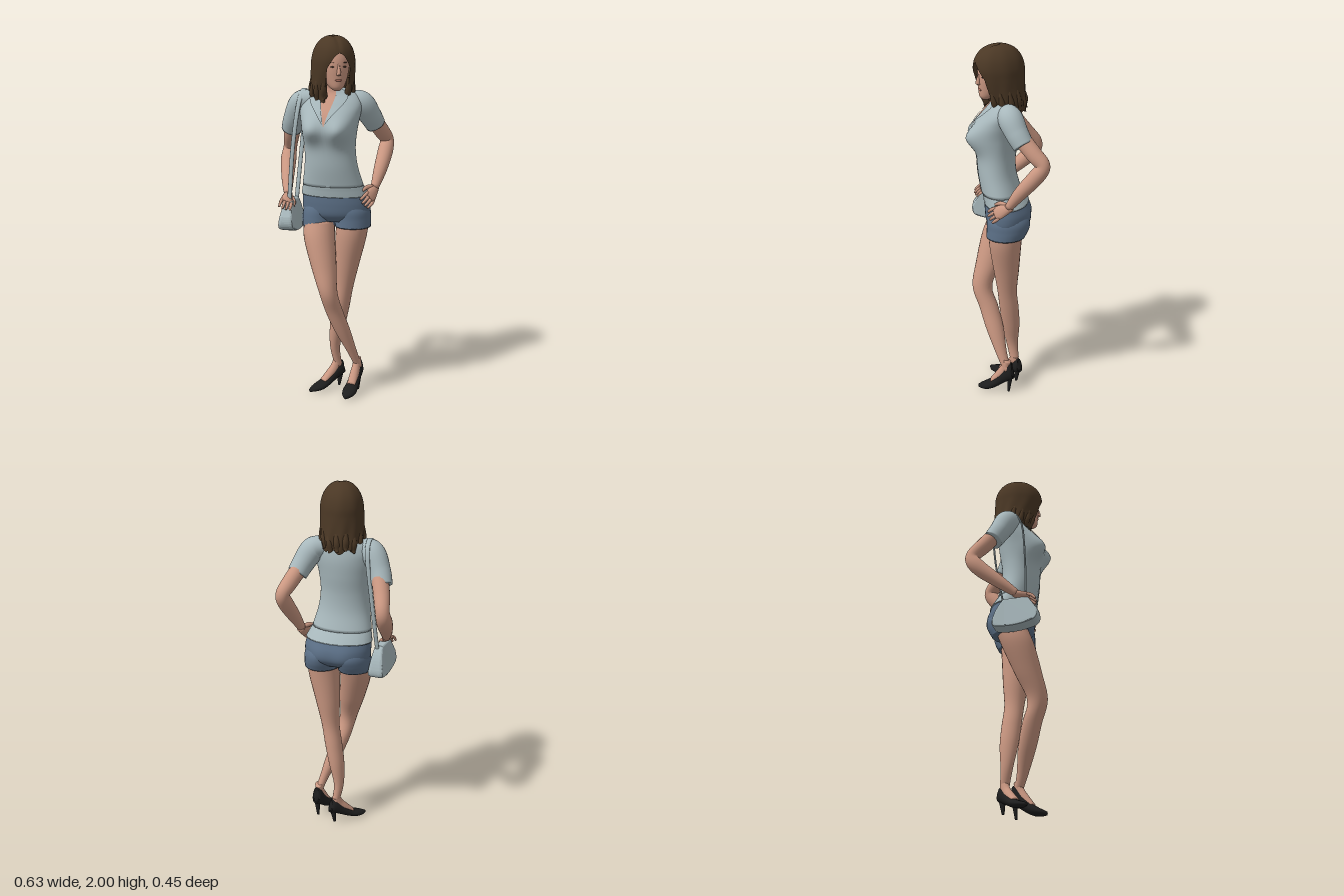
import * as THREE from 'three';

const mat = (name, color, side = THREE.FrontSide) =>
  Object.assign(new THREE.MeshStandardMaterial({ color, side }), { name });
const skin = mat('skin', 0xcb9882);
const cloth = mat('grey cloth', 0xa8b8bc, THREE.DoubleSide);
const denim = mat('denim', 0x5b6f86);
const hairMat = mat('brown hair', 0x4b3825, THREE.DoubleSide);
const black = mat('black leather', 0x1e1e1e);
const lipMat = mat('lips', 0xb87867);
const dark = mat('eye dark', 0x46342a);

// Smooth surface through rows [x, y, z, radiusA, radiusB]; flat keeps sections level.
function surface(rows, flat = false, warp = null) {
  const curve = pts => new THREE.CatmullRomCurve3(pts, false, 'catmullrom', 0.5);
  const path = curve(rows.map(r => new THREE.Vector3(r[0], r[1], r[2])));
  const size = curve(rows.map(r => new THREE.Vector3(r[3], r[4] ?? r[3], 0)));
  return (s, angle, off = 0) => {
    const p = path.getPoint(s), k = size.getPoint(s);
    const u = new THREE.Vector3(1, 0, 0), v = new THREE.Vector3(0, 0, 1);
    if (!flat) {
      const t = path.getTangent(s);
      u.addScaledVector(t, -u.dot(t)).normalize();
      v.crossVectors(u, t);
    }
    p.addScaledVector(u, (k.x + off) * Math.cos(angle));
    p.addScaledVector(v, (k.y + off) * Math.sin(angle));
    if (warp) warp(p, angle);
    return p;
  };
}

// Mesh a surface: a closed capped skin, or an open patch when range(i, s) gives its angles.
function skinOver(name, P, material, { n = 24, m = 24, range = null, s0 = 0, s1 = 1, off = 0 } = {}) {
  const pos = [], idx = [], cols = range ? m + 1 : m;
  for (let i = 0; i <= n; i++) {
    const s = s0 + (s1 - s0) * i / n;
    const [a, b] = range ? range(i / n, s) : [0, Math.PI * 2];
    for (let j = 0; j < cols; j++) pos.push(...P(s, a + (b - a) * j / m, off).toArray());
  }
  for (let i = 0; i < n; i++) for (let j = 0; j < m; j++) {
    const k = (j + 1) % cols, a = i * cols, b = a + cols;
    idx.push(a + j, b + j, a + k, b + j, b + k, a + k);
  }
  if (!range) {
    const c = pos.length / 3, e = n * m;
    for (const s of [0, 1]) pos.push(...P(s, 0).add(P(s, Math.PI)).multiplyScalar(0.5).toArray());
    for (let j = 0; j < m; j++) {
      const k = (j + 1) % m;
      idx.push(c, j, k, c + 1, e + k, e + j);
    }
  }
  const g = new THREE.BufferGeometry();
  g.setAttribute('position', new THREE.Float32BufferAttribute(pos, 3));
  g.setIndex(idx);
  g.computeVertexNormals();
  const mesh = new THREE.Mesh(g, material);
  mesh.name = name;
  return mesh;
}
const loft = (name, rows, material, flat, warp, opts) => skinOver(name, surface(rows, flat, warp), material, opts);
const bump = (d, w) => Math.exp(-d * d / w);

function blob(name, material, [x, y, z], [a, b, c]) {
  const mesh = new THREE.Mesh(new THREE.SphereGeometry(1, 16, 10), material);
  mesh.name = name;
  mesh.position.set(x, y, z);
  mesh.scale.set(a, b, c);
  return mesh;
}

// Hand pointing along +z with four curled fingers
function hand(name, position, rotation, thumbSide, scale) {
  const g = new THREE.Group();
  g.name = name;
  g.add(loft('palm', [[0, 0, -0.015, 0.019, 0.017], [0, 0, 0.02, 0.026, 0.015], [0, 0, 0.055, 0.031, 0.012], [0, -0.003, 0.07, 0.026, 0.009]], skin, false, null, { n: 10, m: 14 }));
  for (let i = 0; i < 4; i++) {
    const x = (i - 1.5) * 0.0155, len = 0.056 - 0.006 * Math.abs(i - 1.3);
    g.add(loft('finger', [[x, 0, 0.055, 0.0082], [x * 1.15, -0.005, 0.055 + len * 0.5, 0.008], [x * 1.15, -0.02, 0.055 + len, 0.0055]], skin, false, null, { n: 6, m: 8 }));
  }
  const t = thumbSide;
  g.add(loft('thumb', [[t * 0.015, 0, 0.005, 0.011], [t * 0.036, -0.006, 0.03, 0.01], [t * 0.042, -0.015, 0.058, 0.006]], skin, false, null, { n: 6, m: 8 }));
  g.position.set(...position);
  g.rotation.set(...rotation, 'YXZ');
  g.scale.setScalar(scale);
  return g;
}

// High-heeled shoe with the foot inside, toe along +z
function shoe(name, x, z, turn, height, length) {
  const g = new THREE.Group();
  g.name = name;
  g.add(loft('pump', [[0, 0.125, -0.076, 0.013, 0.035], [0, 0.12, -0.062, 0.028, 0.047], [0, 0.085, -0.012, 0.031, 0.036], [0, 0.048, 0.04, 0.036, 0.027], [0, 0.028, 0.085, 0.04, 0.023], [0, 0.018, 0.125, 0.03, 0.016], [0, 0.012, 0.155, 0.009, 0.009]], black));
  g.add(loft('foot', [[0, 0.18, -0.04, 0.022, 0.024], [0, 0.13, -0.022, 0.023, 0.03], [0, 0.092, 0.015, 0.026, 0.026], [0, 0.055, 0.065, 0.024, 0.014]], skin));
  const heel = new THREE.Mesh(new THREE.CylinderGeometry(0.022, 0.007, 0.11, 14), black);
  heel.name = 'heel';
  heel.position.set(0, 0.055, -0.055);
  heel.rotation.x = -0.1;
  g.add(heel);
  g.position.set(x, 0, z);
  g.rotation.y = turn;
  g.scale.set(1, height, length);
  return g;
}

function head() {
  const g = new THREE.Group();
  g.name = 'head';
  g.add(loft('face', [[0, -0.118, 0.078, 0.015, 0.016], [0, -0.1, 0.066, 0.038, 0.045], [0, -0.06, 0.04, 0.061, 0.075], [0, 0, 0.025, 0.078, 0.093], [0, 0.06, 0.01, 0.084, 0.1], [0, 0.12, 0, 0.065, 0.08], [0, 0.14, 0, 0.03, 0.04]], skin, true));
  g.add(loft('nose', [[0, -0.037, 0.112, 0.009, 0.01], [0, -0.029, 0.119, 0.012, 0.016], [0, 0.005, 0.115, 0.007, 0.01], [0, 0.03, 0.109, 0.005, 0.005]], skin, true, null, { n: 10, m: 12 }));
  g.add(blob('lips', lipMat, [0, -0.062, 0.112], [0.02, 0.006, 0.006]));
  for (const side of [-1, 1]) {
    g.add(blob('eye', dark, [side * 0.032, 0.008, 0.108], [0.011, 0.004, 0.006]));
    g.add(blob('eyebrow', dark, [side * 0.034, 0.03, 0.106], [0.015, 0.0018, 0.006]));
  }
  // Hair shell, parted over the face, with waves that grow toward the tips
  const wave = (p, a) => {
    const low = THREE.MathUtils.clamp((0.08 - p.y) / 0.24, 0, 1);
    const k = 1 + 0.006 * Math.sin(a * 9 + 1) + 0.025 * low * low * Math.sin(a * 11 + p.y * 22);
    p.x *= k;
    p.z *= k;
    p.y += 0.012 * low * low * Math.sin(a * 7 + 1);
    if (p.z > 0) p.y -= 0.007 * bump(p.x, 0.0002);
  };
  const shell = surface([[0, -0.178, -0.035, 0.108, 0.108], [0, -0.12, -0.027, 0.118, 0.115], [0, -0.06, -0.014, 0.118, 0.127], [0, 0, -0.003, 0.117, 0.136], [0, 0.05, 0.002, 0.114, 0.139], [0, 0.1, 0.004, 0.1, 0.125], [0, 0.14, 0.004, 0.073, 0.093], [0, 0.162, 0.004, 0.04, 0.05], [0, 0.17, 0.004, 0.002, 0.002]], true, wave);
  const opening = (i, s) => {
    const y = shell(s, 0).y;
    const gap = 0.56 * THREE.MathUtils.clamp((0.085 - y) / 0.085, 0, 1) ** 0.65;
    return [Math.PI / 2 + gap, Math.PI * 2.5 - gap];
  };
  g.add(skinOver('hair', shell, hairMat, { n: 48, m: 90, range: opening }));
  // Curled locks along the ends
  for (let i = 0; i < 13; i++) {
    const a = Math.PI / 2 + 0.66 + i * (Math.PI * 2 - 1.32) / 12, c = Math.cos(a), d = Math.sin(a);
    const at = (r, y, w, back) => [c * r, y - 0.008 * (i % 3), d * r - back, w];
    g.add(loft('lock', [at(0.108, -0.05, 0.01, 0.012), at(0.11, -0.115, 0.018, 0.026), at(0.1, -0.155, 0.017, 0.033), at(0.114, -0.17, 0.005, 0.035)], hairMat, true, null, { n: 10, m: 10 }));
  }
  g.position.set(0.028, 1.83, 0.05);
  g.rotation.y = 0.5;
  return g;
}

export function createModel() {
  const model = new THREE.Group();
  model.name = 'standing woman';
  const add = (...parts) => model.add(...parts);

  // Shirt with collar laid on the same surface
  const bust = p => {
    const front = THREE.MathUtils.clamp((p.z - 0.05) / 0.08, 0, 1);
    for (const x of [-0.07, 0.098]) p.z += 0.06 * front * bump(p.x - x, 0.0045) * bump(p.y - 1.505, 0.0045);
  };
  const torso = surface([[0.025, 1.195, 0.04, 0.17, 0.109], [0.02, 1.3, 0.063, 0.147, 0.104], [0.015, 1.4, 0.068, 0.14, 0.106], [0.013, 1.5, 0.065, 0.15, 0.117], [0.013, 1.58, 0.055, 0.165, 0.115], [0.013, 1.64, 0.037, 0.168, 0.094], [0.015, 1.69, 0.022, 0.135, 0.07], [0.02, 1.72, 0.028, 0.06, 0.055]], true, bust);
  add(skinOver('shirt', torso, cloth, { n: 48, m: 48 }));
  add(loft('shirt lower band', [[0.032, 1.137, 0.012, 0.191, 0.123], [0.028, 1.17, 0.026, 0.179, 0.114], [0.025, 1.2, 0.039, 0.166, 0.105], [0.025, 1.22, 0.042, 0.15, 0.092]], cloth, true));
  const mid = Math.PI / 2, open = i => 0.02 + 0.36 * i;
  add(skinOver('open neckline', torso, skin, { s0: 0.48, s1: 1, n: 20, m: 10, off: 0.004, range: i => [mid - open(i), mid + open(i)] }));
  add(skinOver('button strip', torso, cloth, { s0: 0, s1: 0.5, n: 24, m: 4, off: 0.003, range: () => [mid - 0.07, mid + 0.07] }));
  for (const side of [-1, 1]) {
    add(skinOver('lapel', torso, cloth, { s0: 0.48, s1: 1, n: 24, m: 6, off: 0.009, range: i => {
      const a = open(i), b = a + (i < 0.6 ? 0.75 * i : 0.45 + 0.3 * (i - 0.6));
      return side > 0 ? [mid - b, mid - a] : [mid + a, mid + b];
    } }));
  }
  add(loft('neck', [[0.018, 1.63, 0.035, 0.05, 0.05], [0.022, 1.72, 0.04, 0.046, 0.047], [0.03, 1.79, 0.055, 0.046, 0.05]], skin, true));
  add(head());

  // Sleeves, arms and hands
  add(loft('right sleeve', [[-0.07, 1.655, 0.04, 0.046], [-0.15, 1.637, 0.03, 0.066], [-0.203, 1.55, 0.0, 0.06], [-0.232, 1.48, -0.033, 0.055]], cloth));
  add(loft('left sleeve', [[0.095, 1.655, 0.005, 0.046], [0.165, 1.637, -0.015, 0.066], [0.207, 1.57, -0.052, 0.061], [0.232, 1.513, -0.088, 0.055]], cloth));
  add(loft('right arm', [[-0.203, 1.55, -0.005, 0.045], [-0.243, 1.45, -0.077, 0.044], [-0.27, 1.368, -0.137, 0.038], [-0.27, 1.3, -0.1, 0.043], [-0.243, 1.21, 0.01, 0.034], [-0.215, 1.14, 0.1, 0.021]], skin, false, null, { n: 36 }));
  add(loft('left arm', [[0.207, 1.57, -0.055, 0.045], [0.253, 1.475, -0.142, 0.043], [0.275, 1.42, -0.189, 0.038], [0.274, 1.36, -0.155, 0.042], [0.262, 1.265, -0.075, 0.036], [0.245, 1.175, -0.01, 0.022]], skin, false, null, { n: 36 }));
  add(hand('right hand', [-0.213, 1.137, 0.1], [0.35, 0.15, -0.4], 1, 1.1));
  add(hand('left hand', [0.245, 1.172, -0.01], [0.5, -0.15, -1.1], -1, 1.2));

  // Shorts: seat and two legs that swell into it
  const seat = p => {
    const back = THREE.MathUtils.clamp(-p.z / 0.06, 0, 1);
    for (const x of [-0.04, 0.115]) p.z -= 0.018 * back * bump(p.x - x, 0.0045) * bump(p.y - 1.045, 0.006);
  };
  add(loft('shorts', [[0.037, 0.995, 0.012, 0.15, 0.08], [0.037, 1.035, 0.008, 0.184, 0.114], [0.036, 1.09, 0.008, 0.19, 0.122], [0.031, 1.147, 0.016, 0.182, 0.114]], denim, true, seat, { m: 48 }));
  add(loft('right shorts leg', [[-0.057, 0.963, 0.026, 0.092, 0.099], [-0.058, 1.01, 0.016, 0.094, 0.106], [-0.052, 1.06, 0.009, 0.094, 0.106], [-0.04, 1.12, 0.01, 0.075, 0.08]], denim, true, seat));
  add(loft('left shorts leg', [[0.131, 0.963, 0.014, 0.099, 0.103], [0.131, 1.01, 0.006, 0.098, 0.108], [0.126, 1.06, 0.006, 0.096, 0.106], [0.11, 1.12, 0.01, 0.075, 0.08]], denim, true, seat));

  // Crossed legs and shoes
  add(loft('right leg', [[0.165, 0.14, 0.0, 0.021, 0.023], [0.135, 0.24, 0.037, 0.027, 0.032], [0.09, 0.37, 0.075, 0.043, 0.05], [0.052, 0.49, 0.112, 0.048, 0.054], [0.026, 0.61, 0.15, 0.05, 0.056], [-0.01, 0.75, 0.112, 0.07, 0.074], [-0.046, 0.9, 0.066, 0.086, 0.089], [-0.055, 1.0, 0.03, 0.085, 0.09]], skin, true, null, { n: 40 }));
  add(loft('left leg', [[0.038, 0.12, -0.038, 0.021, 0.023], [0.022, 0.24, -0.02, 0.028, 0.033], [0.038, 0.37, -0.012, 0.043, 0.05], [0.06, 0.49, -0.004, 0.048, 0.054], [0.082, 0.61, 0.006, 0.05, 0.055], [0.099, 0.75, 0.01, 0.068, 0.071], [0.12, 0.9, 0.014, 0.086, 0.087], [0.13, 1.0, 0.01, 0.088, 0.092]], skin, true, null, { n: 40 }));
  add(shoe('right shoe', 0.152, 0.036, -0.18, 1.12, 0.87));
  add(shoe('left shoe', 0.008, -0.006, -0.7, 0.9, 1));

  // Shoulder bag, narrowing toward its top, and its strap
  const outline = new THREE.Shape();
  outline.moveTo(-0.015, 0.955);
  outline.quadraticCurveTo(0.09, 0.935, 0.19, 0.97);
  outline.quadraticCurveTo(0.22, 0.985, 0.205, 1.03);
  outline.lineTo(0.155, 1.105);
  outline.lineTo(0.03, 1.105);
  outline.quadraticCurveTo(-0.01, 1.06, -0.025, 0.99);
  outline.quadraticCurveTo(-0.03, 0.96, -0.015, 0.955);
  const bagShape = new THREE.ExtrudeGeometry(outline, { depth: 0.045, bevelSize: 0.01, bevelThickness: 0.018, bevelSegments: 3, curveSegments: 8 });
  bagShape.rotateY(-Math.PI / 2);
  const bagPos = bagShape.attributes.position;
  for (let i = 0; i < bagPos.count; i++) {
    const up = THREE.MathUtils.clamp((bagPos.getY(i) - 0.97) / 0.14, 0, 1);
    bagPos.setX(i, (bagPos.getX(i) + 0.0225) * (1.1 - 0.5 * up));
  }
  bagShape.computeVertexNormals();
  const bag = new THREE.Mesh(bagShape, cloth);
  bag.name = 'shoulder bag';
  bag.position.x = -0.197;
  add(bag);
  add(loft('bag strap', [[-0.195, 1.09, 0.145, 0.012, 0.005], [-0.175, 1.4, 0.137, 0.012, 0.005], [-0.15, 1.63, 0.108, 0.013, 0.005], [-0.14, 1.709, 0.03, 0.014, 0.005], [-0.15, 1.64, -0.045, 0.013, 0.005], [-0.172, 1.4, -0.035, 0.012, 0.005], [-0.19, 1.09, 0.02, 0.012, 0.005]], cloth, false, null, { n: 48, m: 12 }));
  return model;
}
